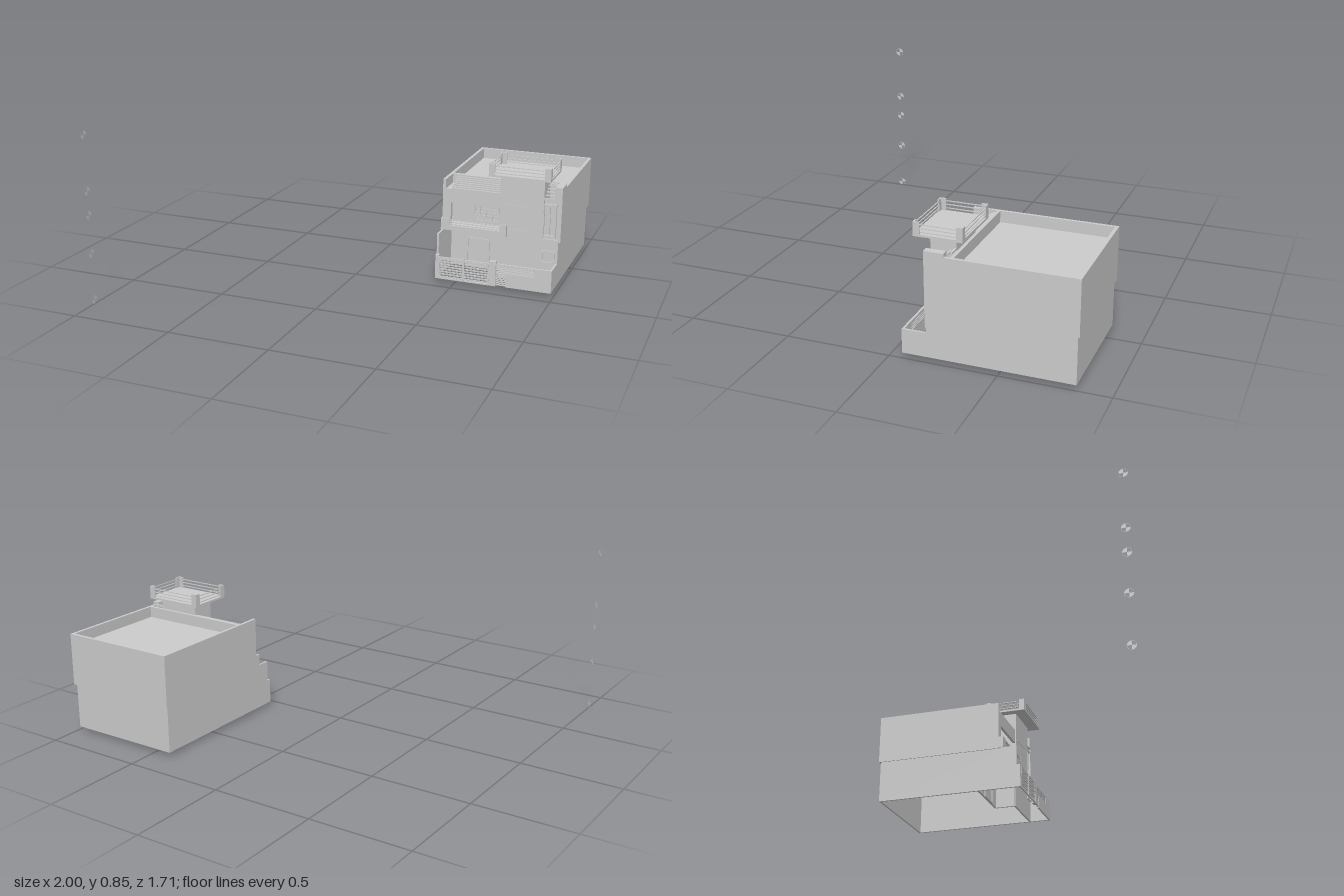
import * as THREE from 'three';

export function createModel() {
  const model = new THREE.Group();
  const mat = new THREE.MeshStandardMaterial({ color: 0xcccccc, flatShading: true, side: THREE.DoubleSide });

  // Box given by its limits on each axis
  function box(name, x0, x1, y0, y1, z0, z1) {
    const mesh = new THREE.Mesh(new THREE.BoxGeometry(x1 - x0, y1 - y0, z1 - z0), mat);
    mesh.position.set((x0 + x1) / 2, (y0 + y1) / 2, (z0 + z1) / 2);
    mesh.name = name;
    model.add(mesh);
    return mesh;
  }
  // Evenly spaced horizontal bars filling an upright panel
  function slats(name, n, x0, x1, y0, y1, z0, z1, fill = 0.5) {
    const step = (y1 - y0) / n;
    for (let i = 0; i < n; i++) {
      const y = y0 + (i + 0.5) * step;
      box(name, x0, x1, y - step * fill / 2, y + step * fill / 2, z0, z1);
    }
  }
  // Four-sided frame around an upright opening
  function frame(name, x0, x1, y0, y1, z0, z1, t = 0.006) {
    for (const [a, b] of [[x0, x0 + t], [x1 - t, x1]]) box(name, a, b, y0, y1, z0, z1);
    for (const [a, b] of [[y0, y0 + t], [y1 - t, y1]]) box(name, x0 + t, x1 - t, a, b, z0, z1);
  }

  // Ground floor: open-bottomed shell with a recessed carport
  box('groundBackWall', 0.405, 0.99, 0.022, 0.25, -0.843, -0.833);
  box('groundSideWall', 0.405, 0.415, 0.022, 0.25, -0.833, -0.073);
  box('groundSideWall', 0.98, 0.99, 0.022, 0.25, -0.833, -0.17);
  box('carportBackWall', 0.415, 0.7, 0.022, 0.25, -0.29, -0.28);
  box('carportSideWall', 0.695, 0.705, 0.022, 0.25, -0.28, -0.175);
  box('entryWall', 0.7, 0.98, 0.022, 0.25, -0.18, -0.17);
  frame('entryWindow', 0.91, 0.975, 0.135, 0.2, -0.17, -0.164);
  frame('carportDoor', 0.5, 0.62, 0.022, 0.18, -0.28, -0.274);

  // Floor between storeys
  box('firstFloorSlab', 0.4, 1, 0.245, 0.257, -0.852, -0.17);
  box('balconySlab', 0.4, 0.735, 0.25, 0.258, -0.17, -0.145);

  // Upper storey with sunken roof behind a parapet
  box('upperSideWall', 0.4, 0.415, 0.257, 0.505, -0.852, -0.17);
  box('upperSideWall', 0.985, 1, 0.257, 0.505, -0.852, -0.17);
  box('upperBackWall', 0.415, 0.985, 0.257, 0.505, -0.852, -0.836);
  box('upperFrontWall', 0.415, 0.985, 0.257, 0.505, -0.3, -0.285);
  box('roof', 0.415, 0.985, 0.44, 0.45, -0.836, -0.3);

  // Stair tower
  box('towerFront', 0.695, 0.913, 0.257, 0.565, -0.175, -0.165);
  box('towerBack', 0.695, 0.913, 0.257, 0.565, -0.285, -0.275);
  for (const x of [0.695, 0.903]) box('towerSide', x, x + 0.01, 0.257, 0.565, -0.275, -0.175);
  for (const y of [0.285, 0.41]) box('towerBand', 0.71, 0.86, y - 0.002, y + 0.002, -0.165, -0.163);

  // Roof-top platform: slab, angled corner posts and rails
  const [px0, px1, pz0, pz1] = [0.65, 0.955, -0.328, -0.103];
  box('platformSlab', px0, px1, 0.562, 0.572, pz0, pz1);
  for (const [x, sx] of [[px0, 1], [px1, -1]]) for (const [z, sz] of [[pz0, 1], [pz1, -1]]) {
    const span = (a, s, l) => [Math.min(a, a + s * l), Math.max(a, a + s * l)];
    box('platformCornerPost', ...span(x, sx, 0.03), 0.572, 0.628, ...span(z, sz, 0.007));
    box('platformCornerPost', ...span(x, sx, 0.007), 0.572, 0.628, ...span(z, sz, 0.03));
  }
  for (const z of [pz0, pz1 - 0.005]) slats('platformRail', 3, px0 + 0.03, px1 - 0.03, 0.575, 0.625, z, z + 0.005, 0.22);
  for (const x of [px0, px1 - 0.005]) slats('platformRail', 3, x, x + 0.005, 0.575, 0.625, pz0 + 0.03, pz1 - 0.03, 0.22);

  // Balcony front frame, parapet, railing and window
  box('balconyColumn', 0.415, 0.443, 0.257, 0.457, -0.185, -0.17);
  box('balconyHeader', 0.443, 0.695, 0.388, 0.457, -0.185, -0.17);
  box('balconyLedge', 0.415, 0.443, 0.445, 0.457, -0.285, -0.185);
  box('balconyParapet', 0.4, 0.735, 0.258, 0.275, -0.152, -0.145);
  for (const [a, b] of [[0.4, 0.443], [0.71, 0.735]]) box('balconyParapet', a, b, 0.275, 0.31, -0.152, -0.145);
  for (const [a, b] of [[0.4, 0.407], [0.728, 0.735]]) box('balconyParapetEnd', a, b, 0.258, 0.31, -0.17, -0.152);
  slats('balconyRail', 3, 0.443, 0.71, 0.275, 0.308, -0.151, -0.146, 0.35);
  frame('balconyWindow', 0.53, 0.69, 0.27, 0.385, -0.285, -0.28);
  for (let i = 1; i < 5; i++) box('balconyWindowBar', 0.53 + i * 0.032, 0.533 + i * 0.032, 0.27, 0.385, -0.285, -0.281);
  slats('balconyWindowBar', 6, 0.536, 0.684, 0.276, 0.379, -0.285, -0.281, 0.2);

  // Sloped slat canopies over the balcony and the side bay
  function canopy(name, x0, x1, yBack, yFront, n) {
    for (let i = 0; i < n; i++) {
      const t = i / (n - 1), y = THREE.MathUtils.lerp(yBack, yFront, t), z = THREE.MathUtils.lerp(-0.28, -0.175, t);
      box(name, x0, x1, y - 0.006, y, z - 0.005, z + 0.005);
    }
  }
  canopy('balconyCanopySlat', 0.44, 0.695, 0.505, 0.463, 8);
  canopy('bayCanopySlat', 0.913, 0.965, 0.518, 0.463, 6);

  // Side bay with tall window
  box('bayWall', 0.913, 0.985, 0.257, 0.457, -0.19, -0.178);
  box('bayPier', 0.965, 1, 0.457, 0.522, -0.26, -0.168);
  frame('bayWindow', 0.91, 0.975, 0.27, 0.435, -0.178, -0.166);
  box('bayWindowMullion', 0.941, 0.945, 0.276, 0.429, -0.178, -0.17);

  // Street wall with gates
  box('streetWallReturn', 0.98, 0.99, 0.022, 0.137, -0.17, -0.068);
  box('streetWall', 0.763, 0.99, 0.022, 0.092, -0.068, -0.058);
  box('streetWall', 0.905, 0.99, 0.092, 0.137, -0.068, -0.058);
  box('streetWallCap', 0.715, 0.905, 0.128, 0.137, -0.068, -0.058);
  slats('streetWallSlat', 4, 0.715, 0.905, 0.092, 0.128, -0.066, -0.06, 0.6);
  slats('smallGateSlat', 7, 0.715, 0.763, 0.024, 0.092, -0.066, -0.06, 0.6);
  box('gatePillar', 0.405, 0.423, 0.022, 0.145, -0.073, -0.053);
  box('gatePillar', 0.68, 0.715, 0.022, 0.148, -0.073, -0.053);
  frame('carGate', 0.423, 0.68, 0.022, 0.137, -0.06, -0.052);
  box('carGateMiddle', 0.546, 0.556, 0.022, 0.145, -0.06, -0.05);
  slats('carGateSlat', 8, 0.429, 0.674, 0.028, 0.131, -0.058, -0.054, 0.6);

  // Flat level markers: two opposite filled quarters and a thin ring
  for (const y of [0.022, 0.254, 0.443, 0.559, 0.828]) {
    const marker = new THREE.Group();
    marker.name = 'levelMarker';
    for (const start of [0, Math.PI]) {
      marker.add(new THREE.Mesh(new THREE.CircleGeometry(0.02, 8, start, Math.PI / 2), mat));
    }
    marker.add(new THREE.Mesh(new THREE.RingGeometry(0.0195, 0.0205, 24), mat));
    marker.rotation.y = Math.PI / 2;
    marker.position.set(-1, y, 0.836);
    model.add(marker);
  }
  return model;
}
